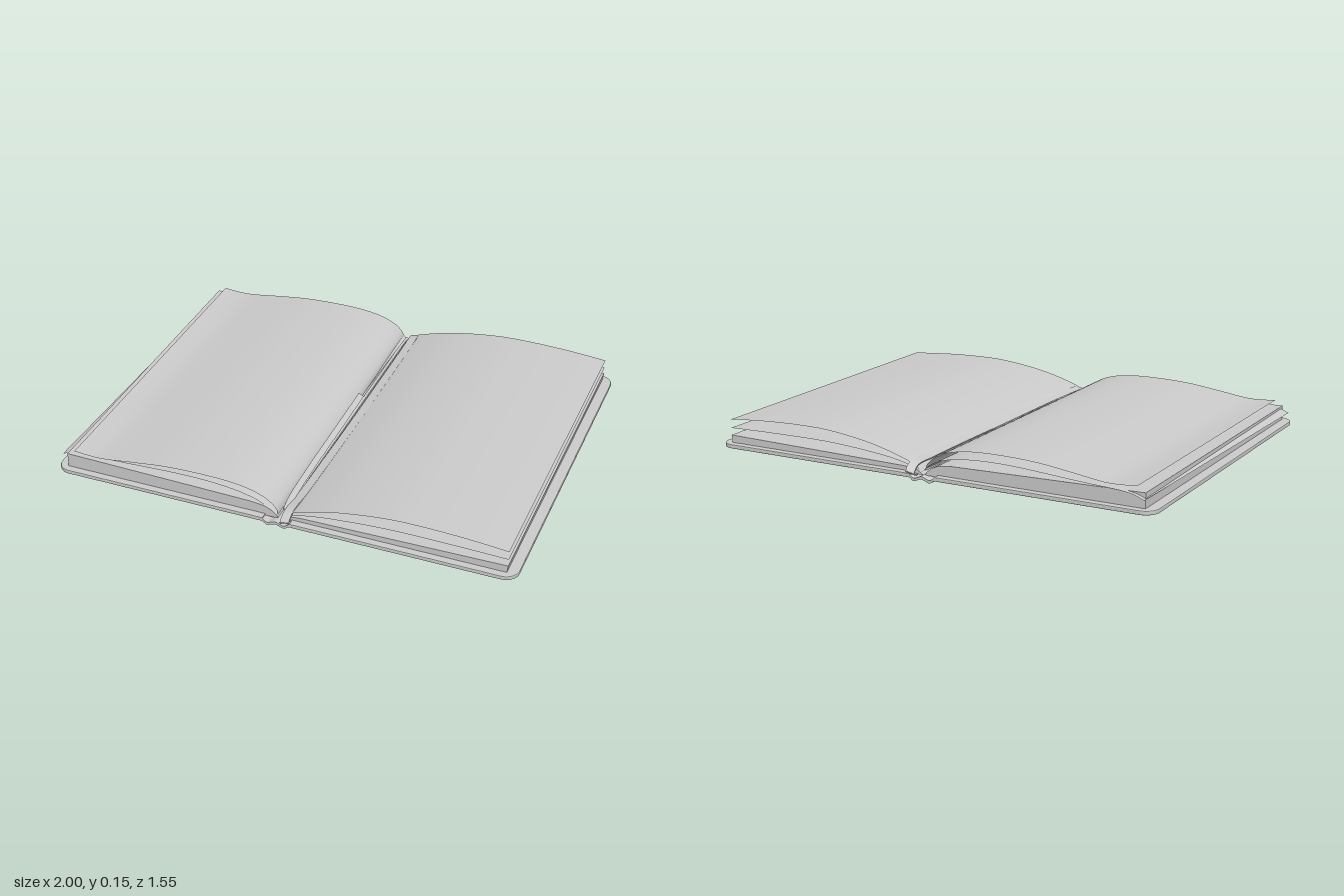
import * as THREE from 'three';

const solid = new THREE.MeshStandardMaterial({ color: 0xcccccc });
const thin = new THREE.MeshStandardMaterial({ color: 0xcccccc, side: THREE.DoubleSide });
const PAGE = 0.74, COVER = 0.77; // half depths of pages and covers

const vectors = pts => pts.map(([x, y]) => new THREE.Vector2(x, y));

function add(parent, name, geometry, material) {
  const mesh = new THREE.Mesh(geometry, material);
  mesh.name = name;
  parent.add(mesh);
  return mesh;
}

// Front outline (x, y) drawn out along z
function prism(outline, half) {
  const g = new THREE.ExtrudeGeometry(new THREE.Shape(vectors(outline)), { depth: half * 2, bevelEnabled: false });
  return g.translate(0, 0, -half);
}

// Thin curved leaf following a profile (x, y), facing up
function leaf(profile, half) {
  const curve = new THREE.SplineCurve(vectors(profile));
  const g = new THREE.PlaneGeometry(1, 1, 40, 1);
  const p = g.attributes.position;
  for (let i = 0; i < p.count; i++) {
    const c = curve.getPoint(p.getX(i) + 0.5);
    p.setXYZ(i, c.x, c.y, -p.getY(i) * 2 * half);
  }
  g.computeVertexNormals();
  return g;
}

// Band with a rectangular section; path is a list of [x, y, z], lean tilts its width
function band(path, width, thickness, lean) {
  const curve = new THREE.CatmullRomCurve3(path.map(p => new THREE.Vector3(...p)), false, 'centripetal');
  const n = 60, pos = [], index = [];
  const side = new THREE.Vector3(Math.cos(lean), Math.sin(lean), 0);
  for (let i = 0; i <= n; i++) {
    const c = curve.getPoint(i / n);
    const up = new THREE.Vector3().crossVectors(curve.getTangent(i / n), side).normalize();
    for (const [s, t] of [[-1, -1], [1, -1], [1, 1], [-1, 1]]) {
      const v = c.clone().addScaledVector(side, s * width / 2).addScaledVector(up, t * thickness / 2);
      pos.push(v.x, v.y, v.z);
    }
  }
  for (let i = 0; i < n; i++) {
    for (let k = 0; k < 4; k++) {
      const a = i * 4 + k, b = i * 4 + (k + 1) % 4;
      index.push(a, b, a + 4, b, b + 4, a + 4);
    }
  }
  index.push(0, 2, 1, 0, 3, 2, n * 4, n * 4 + 1, n * 4 + 2, n * 4, n * 4 + 2, n * 4 + 3);
  const g = new THREE.BufferGeometry();
  g.setAttribute('position', new THREE.Float32BufferAttribute(pos, 3));
  g.setIndex(index);
  const flat = g.toNonIndexed();
  flat.computeVertexNormals();
  return flat;
}

// Cover board with rounded outer corners; dir is -1 for left, 1 for right
function board(dir) {
  const r = 0.055, bevel = 0.004, e = 1 - bevel, d = COVER - bevel;
  const s = new THREE.Shape();
  s.moveTo(0.06, -d);
  s.lineTo(e - r, -d);
  s.absarc(e - r, -d + r, r, -Math.PI / 2, 0, false);
  s.lineTo(e, d - r);
  s.absarc(e - r, d - r, r, 0, Math.PI / 2, false);
  s.lineTo(0.06, d);
  const g = new THREE.ExtrudeGeometry(s, {
    depth: 0.01, bevelThickness: bevel, bevelSize: bevel, bevelSegments: 2, curveSegments: 8,
  });
  g.rotateX(-Math.PI / 2).translate(0, 0.016, 0);
  return dir > 0 ? g : g.rotateY(Math.PI);
}

export function createModel() {
  const book = new THREE.Group();
  book.name = 'openNotebook';

  // Covers joined by a spine with two hinge grooves
  add(book, 'leftCover', board(-1), solid);
  add(book, 'rightCover', board(1), solid);
  const wave = new THREE.SplineCurve(vectors([
    [-0.075, 0.017], [-0.055, 0.012], [-0.035, 0.001], [0, 0.012], [0.035, 0.001], [0.055, 0.012], [0.075, 0.017],
  ])).getPoints(36).map(p => [p.x, Math.max(p.y, 0)]);
  const inner = wave.map(([x, y]) => [x, y + 0.012]).reverse();
  add(book, 'spine', prism([...wave, ...inner], COVER), solid);

  // Closed stacks of pages
  add(book, 'leftPageBlock', prism([
    [-0.955, 0.027], [0, 0.022], [-0.005, 0.035], [-0.03, 0.055], [-0.06, 0.068], [-0.12, 0.075], [-0.4, 0.081], [-0.955, 0.092],
  ], PAGE), solid);
  add(book, 'rightPageBlock', prism([
    [0.01, 0.022], [0.955, 0.027], [0.96, 0.062], [0.4, 0.053], [0.1, 0.048], [0.04, 0.042],
  ], PAGE), solid);

  // Loose leaves arching above the stacks
  add(book, 'leftTopPage', leaf([
    [-0.92, 0.113], [-0.8, 0.107], [-0.65, 0.126], [-0.5, 0.144], [-0.35, 0.15], [-0.22, 0.147],
    [-0.12, 0.132], [-0.05, 0.105], [-0.01, 0.07], [0, 0.04],
  ], PAGE), thin);
  const loose = add(book, 'leftLoosePage', leaf([
    [-0.975, 0.068], [-0.9, 0.09], [-0.7, 0.101], [-0.4, 0.118], [-0.2, 0.112], [-0.07, 0.085], [-0.005, 0.04],
  ], PAGE), thin);
  loose.rotation.y = -0.022;
  add(book, 'rightTopPage', leaf([
    [0.02, 0.035], [0.045, 0.055], [0.1, 0.078], [0.25, 0.118], [0.45, 0.146], [0.62, 0.15], [0.8, 0.143], [0.96, 0.13],
  ], PAGE), thin);
  add(book, 'rightLoosePage', leaf([
    [0.02, 0.033], [0.06, 0.052], [0.2, 0.078], [0.45, 0.097], [0.7, 0.098], [0.96, 0.093],
  ], PAGE), thin);

  // Band lying in the gutter and folding over both ends
  add(book, 'gutterBand', band([
    [0.05, 0.026, -0.745], [0.05, 0.034, -0.773], [0.055, 0.06, -0.74], [0.058, 0.064, -0.6], [0.058, 0.064, 0],
    [0.05, 0.062, 0.6], [0.042, 0.058, 0.73], [0.042, 0.034, 0.773], [0.042, 0.026, 0.745],
  ], 0.04, 0.005, 0.2), solid);

  // Bookmark ribbon resting against the left page
  add(book, 'bookmarkRibbon', band([
    [0.012, 0.075, -0.15], [0.014, 0.074, 0.1], [0.016, 0.072, 0.4], [0.02, 0.064, 0.65], [0.026, 0.055, 0.72],
  ], 0.026, 0.005, -0.5), solid);

  return book;
}
